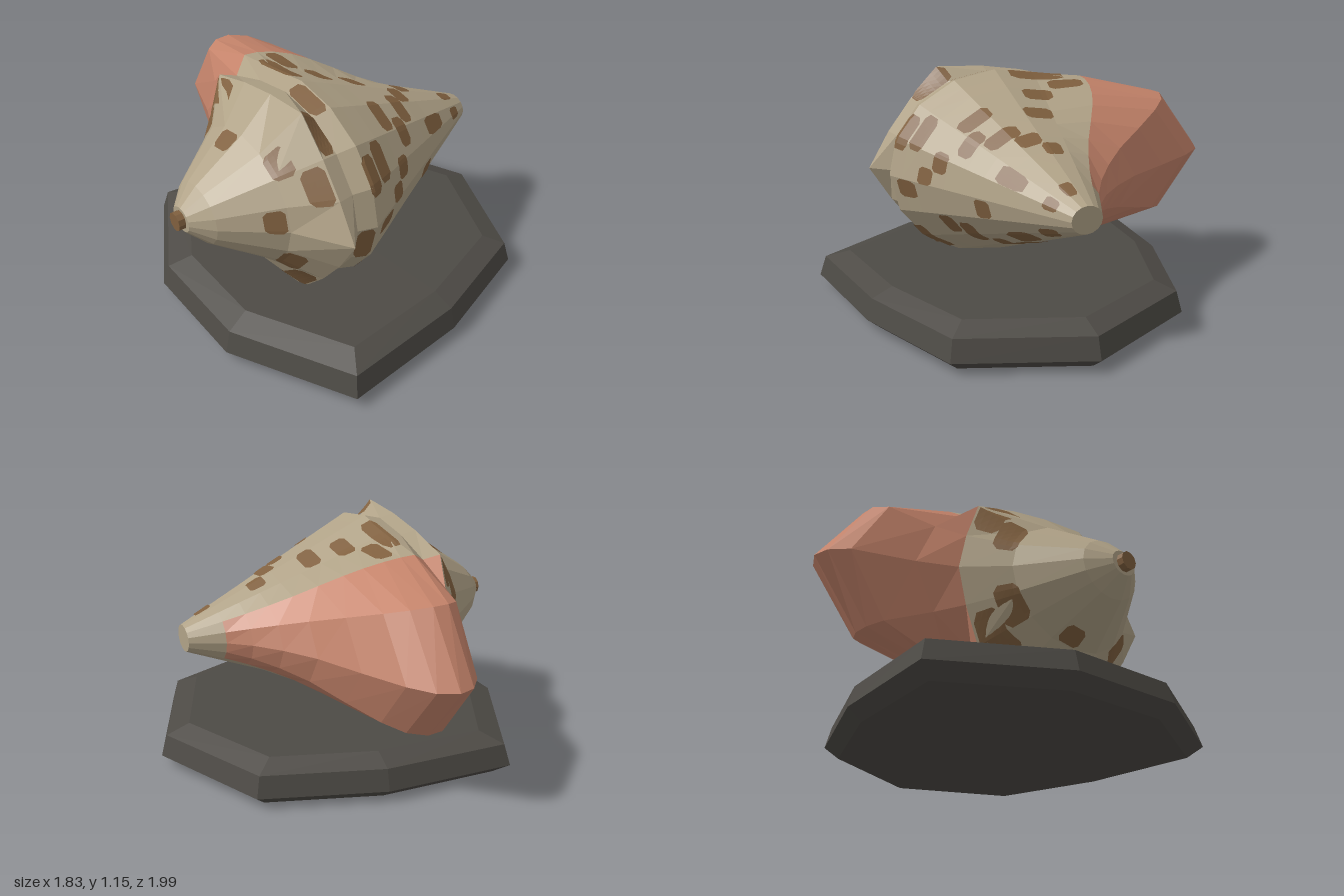
import * as THREE from 'three';

const mat = (name, color) => {
  const m = new THREE.MeshStandardMaterial({ color, flatShading: true });
  m.name = name;
  return m;
};

const SIDES = 16, AXIS_Y = 0.66, AXIS_Z = 0.12, Z_STRETCH = 1.18;

// shell sections along x: [x, radius, lip flare]
const SECTIONS = [
  [-0.885, 0.06, 0], [-0.8, 0.145, 0], [-0.55, 0.315, 0], [-0.39, 0.47, 0], [-0.31, 0.455, 0.17],
  [-0.22, 0.48, 0.385], [-0.15, 0.45, 0.48], [-0.07, 0.417, 0.53], [0.02, 0.378, 0.53], [0.1, 0.344, 0.466],
  [0.2, 0.302, 0.33], [0.3, 0.26, 0.18], [0.4, 0.217, 0.09], [0.5, 0.175, 0.03], [0.6, 0.133, 0], [0.76, 0.065, 0],
];
const FLARE = { 6: 0.25, 7: 0.74, 8: 1, 9: 0.74, 10: 0.25 };
const SPIKES = [0, 3, 6, 10, 13];
const SHOULDER = 3;

// corner j of section i
function corner(i, j, lift = 0) {
  const [x, base, flare] = SECTIONS[i];
  const k = ((j % SIDES) + SIDES) % SIDES;
  let r = base + flare * (FLARE[k] || 0) + lift;
  if (i === SHOULDER && SPIKES.includes(k)) r += 0.057;
  const a = (k / SIDES) * Math.PI * 2;
  return new THREE.Vector3(x, AXIS_Y + r * Math.sin(a), AXIS_Z + Z_STRETCH * r * Math.cos(a));
}

// any point on the faceted shell, s counted in sides
function onShell(x, s, lift) {
  let i = 0;
  while (i < SECTIONS.length - 2 && x > SECTIONS[i + 1][0]) i++;
  const t = (x - SECTIONS[i][0]) / (SECTIONS[i + 1][0] - SECTIONS[i][0]);
  const j = Math.floor(s), f = s - j;
  const a = corner(i, j, lift).lerp(corner(i, j + 1, lift), f);
  return a.lerp(corner(i + 1, j, lift).lerp(corner(i + 1, j + 1, lift), f), t);
}

function geometryFrom(points) {
  const g = new THREE.BufferGeometry().setFromPoints(points);
  g.computeVertexNormals();
  return g;
}

const quad = (out, a, b, c, d) => out.push(a, b, c, a, c, d);

// spots: [x, angle in degrees, half angle, half width]
const SPOTS = [
  [-0.6, 10, 11], [-0.52, 53, 10], [-0.44, 32, 11], [-0.35, 58, 12], [-0.19, 28, 11], [-0.1, 32, 12],
  [-0.27, -11, 11], [-0.12, -6, 6, 0.055], [0.06, 58, 12], [0.15, 42, 12], [0.23, 62, 15], [0.06, 19, 8],
  [-0.01, 6, 6], [0.43, 34, 11, 0.075], [0.31, -11, 10], [-0.52, -37, 14], [-0.44, -60, 14],
  [-0.35, -62, 14], [-0.19, -48, 13], [0.06, -32, 9], [0.15, -43, 13], [0.23, -68, 14], [0.43, -55, 14, 0.075],
  [0.65, 28, 14, 0.035], [0.62, -45, 14, 0.05], [0.65, 75, 12, 0.04],
];
// spots repeated on the upper and lower back
const BACK_SPOTS = [
  [-0.6, 100, 10], [-0.52, 150, 15], [-0.44, 136, 16], [-0.19, 111, 14], [-0.1, 124, 8],
  [-0.02, 107, 9], [0.13, 101, 11], [0.31, 78, 11], [0.39, 95, 10], [-0.27, 78, 11],
];

function spotGeometry([x, angle, half, width = 0.04]) {
  const rows = [-1, -0.7, -0.35, 0, 0.35, 0.7, 1], cols = 4, pts = [];
  const at = (v, c) => {
    const w = width * (Math.abs(v) === 1 ? 0.6 : 1);
    const deg = angle + v * half;
    return onShell(x + w * ((2 * c) / cols - 1), (deg / 360) * SIDES, 0.006);
  };
  for (let r = 0; r < rows.length - 1; r++)
    for (let c = 0; c < cols; c++)
      quad(pts, at(rows[r], c), at(rows[r], c + 1), at(rows[r + 1], c + 1), at(rows[r + 1], c));
  return geometryFrom(pts);
}

function slabGeometry() {
  const outline = [[-0.56, 0.99], [0.08, 0.92], [0.65, 0.72], [0.91, 0.12], [0.65, -0.47],
    [0.08, -0.69], [-0.56, -0.75], [-0.87, -0.18], [-0.87, 0.41]];
  const layers = [[0, 0.001], [0, 0.915], [0.06, 1], [0.165, 0.965], [0.205, 0.835], [0.205, 0.001]];
  const at = (l, i) => {
    const [x, z] = outline[i % outline.length], [y, s] = layers[l];
    return new THREE.Vector3(x * s, y, 0.12 + (z - 0.12) * s);
  };
  const pts = [];
  for (let l = 0; l < layers.length - 1; l++)
    for (let i = 0; i < outline.length; i++) quad(pts, at(l, i), at(l, i + 1), at(l + 1, i + 1), at(l + 1, i));
  return geometryFrom(pts);
}

export function createModel() {
  const tan = mat('shell tan', 0xb0a287);
  const brown = mat('spot brown', 0x80603f);
  const salmon = mat('lip salmon', 0xc4836a);
  const stone = mat('slab grey', 0x4d4a45);
  const model = new THREE.Group();
  const add = (name, geometry, material, parent = model) => {
    const m = new THREE.Mesh(geometry, material);
    m.name = name;
    parent.add(m);
    return m;
  };

  // display slab
  add('slab', slabGeometry(), stone);

  // shell body and flared lip
  const body = [], lip = [];
  for (let i = 0; i < SECTIONS.length - 1; i++)
    for (let j = 0; j < SIDES; j++) {
      const onLip = j >= 6 && j < 10 && i >= SHOULDER && i < SECTIONS.length - 2;
      quad(onLip ? lip : body, corner(i, j), corner(i + 1, j), corner(i + 1, j + 1), corner(i, j + 1));
    }
  // end caps
  const last = SECTIONS.length - 1;
  for (let j = 0; j < SIDES; j++) {
    body.push(new THREE.Vector3(SECTIONS[last][0], AXIS_Y, AXIS_Z), corner(last, j + 1), corner(last, j));
    body.push(new THREE.Vector3(SECTIONS[0][0], AXIS_Y, AXIS_Z), corner(0, j), corner(0, j + 1));
  }
  add('shellBody', geometryFrom(body), tan);
  add('shellLip', geometryFrom(lip), salmon);

  // spire knob
  const knob = add('spireKnob', new THREE.CylinderGeometry(0.045, 0.045, 0.04, 10), brown);
  knob.rotation.z = Math.PI / 2;
  knob.position.set(-0.898, AXIS_Y, AXIS_Z);

  // spots
  const spots = new THREE.Group();
  spots.name = 'spots';
  model.add(spots);
  const mirrored = BACK_SPOTS.map(([x, a, h]) => [x, -a, h]);
  for (const s of [...SPOTS, ...BACK_SPOTS, ...mirrored]) add('spot', spotGeometry(s), brown, spots);

  return model;
}
